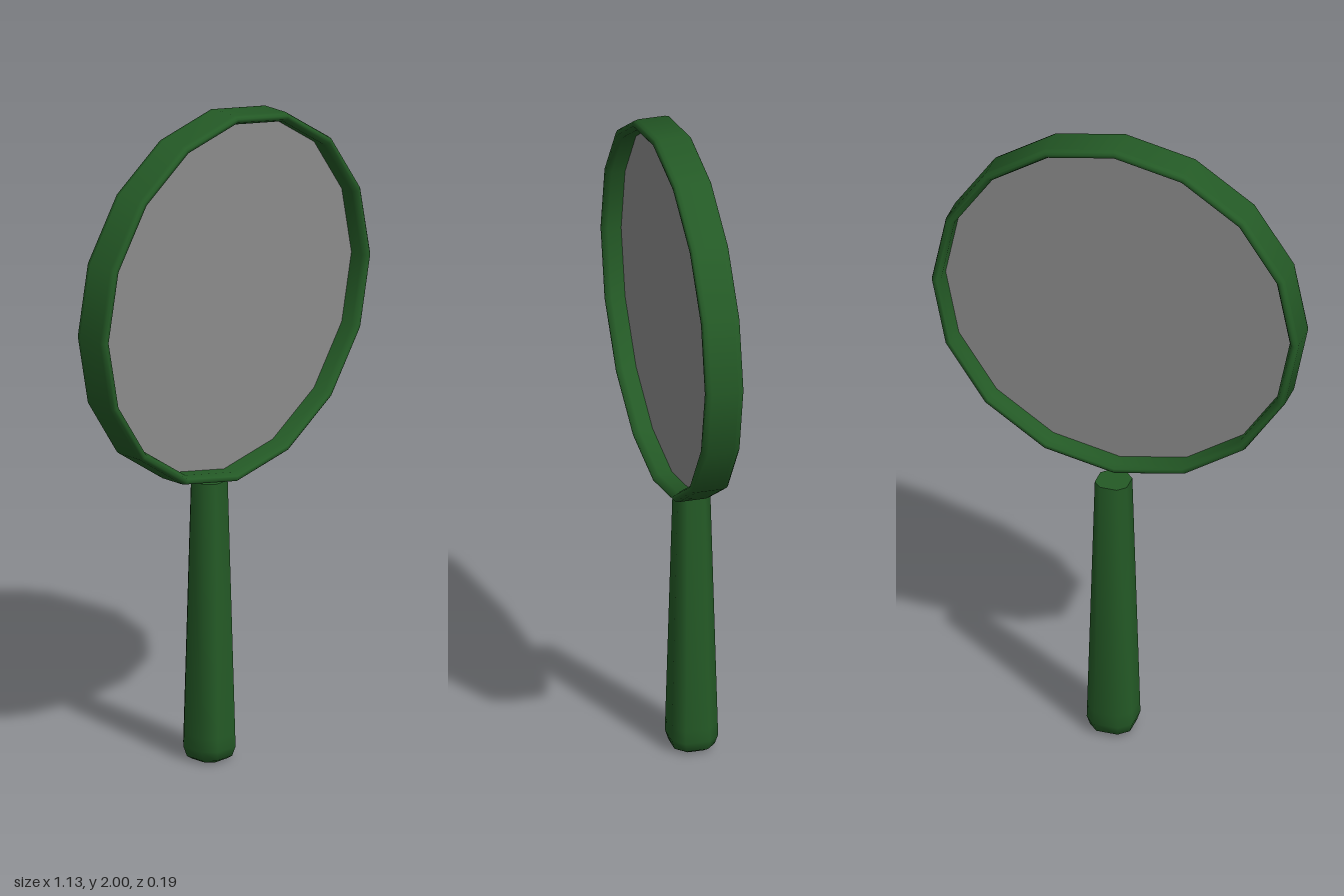
import * as THREE from 'three';
import { mergeVertices } from 'three/addons/utils/BufferGeometryUtils.js';

const v2 = (pairs) => pairs.map(([x, y]) => new THREE.Vector2(x, y));

// Eight-sided tapered handle: a lathe squared off into a chamfered box section
function handleGeometry() {
  const profile = v2([[0, 0], [0.045, 0], [0.061, 0.011], [0.07, 0.04], [0.069, 0.08], [0.049, 0.857]]);
  const geo = new THREE.LatheGeometry(profile, 8);
  geo.rotateY(Math.PI / 8);
  const p = geo.attributes.position;
  const k = 1 / Math.cos(Math.PI / 8);
  for (let i = 0; i < p.count; i++) {
    let x = p.getX(i) * k, z = p.getZ(i) * k;
    // widen the four main faces relative to the corner faces
    if (Math.abs(x) > Math.abs(z)) z *= 1.28; else x *= 1.28;
    p.setX(i, x);
    p.setZ(i, z);
  }
  geo.deleteAttribute('uv');
  geo.deleteAttribute('normal');
  const welded = mergeVertices(geo, 1e-4);
  welded.computeVertexNormals();
  return welded;
}

// Flat lid closing the top of the handle
function handleTopGeometry() {
  const a = 0.049, b = 0.026;
  const shape = new THREE.Shape(v2([[a, -b], [a, b], [b, a], [-b, a], [-a, b], [-a, -b], [-b, -a], [b, -a]]));
  return new THREE.ShapeGeometry(shape).rotateX(-Math.PI / 2);
}

// Sixteen-sided rim with softened corners
function rimGeometry() {
  const ro = 0.563, ri = 0.535, h = 0.057, c = 0.009, d = 0.016;
  const profile = v2([
    [ro, -h + d], [ro, h - d], [ro - 0.003, h - 0.005], [ro - c, h],
    [ri + c, h], [ri, h - d], [ri, -h + d], [ri + c, -h],
    [ro - c, -h], [ro - 0.003, -h + 0.005], [ro, -h + d],
  ]);
  return new THREE.LatheGeometry(profile, 16).rotateX(Math.PI / 2);
}

export function createModel() {
  const group = new THREE.Group();
  group.name = 'magnifyingGlass';
  const green = new THREE.MeshStandardMaterial({ color: 0x245a26 });
  green.name = 'darkGreen';
  const glass = new THREE.MeshStandardMaterial({ color: 0x8c8c8c, side: THREE.DoubleSide });
  glass.name = 'greyGlass';

  const add = (name, geo, mat, y, z) => {
    const mesh = new THREE.Mesh(geo, mat);
    mesh.name = name;
    mesh.position.set(0, y, z);
    group.add(mesh);
  };

  add('rim', rimGeometry(), green, 1.437, 0.036);
  add('lens', new THREE.CircleGeometry(0.54, 16), glass, 1.437, 0.036);
  add('handle', handleGeometry(), green, 0, -0.023);
  add('handleTop', handleTopGeometry(), green, 0.857, -0.023);
  return group;
}
